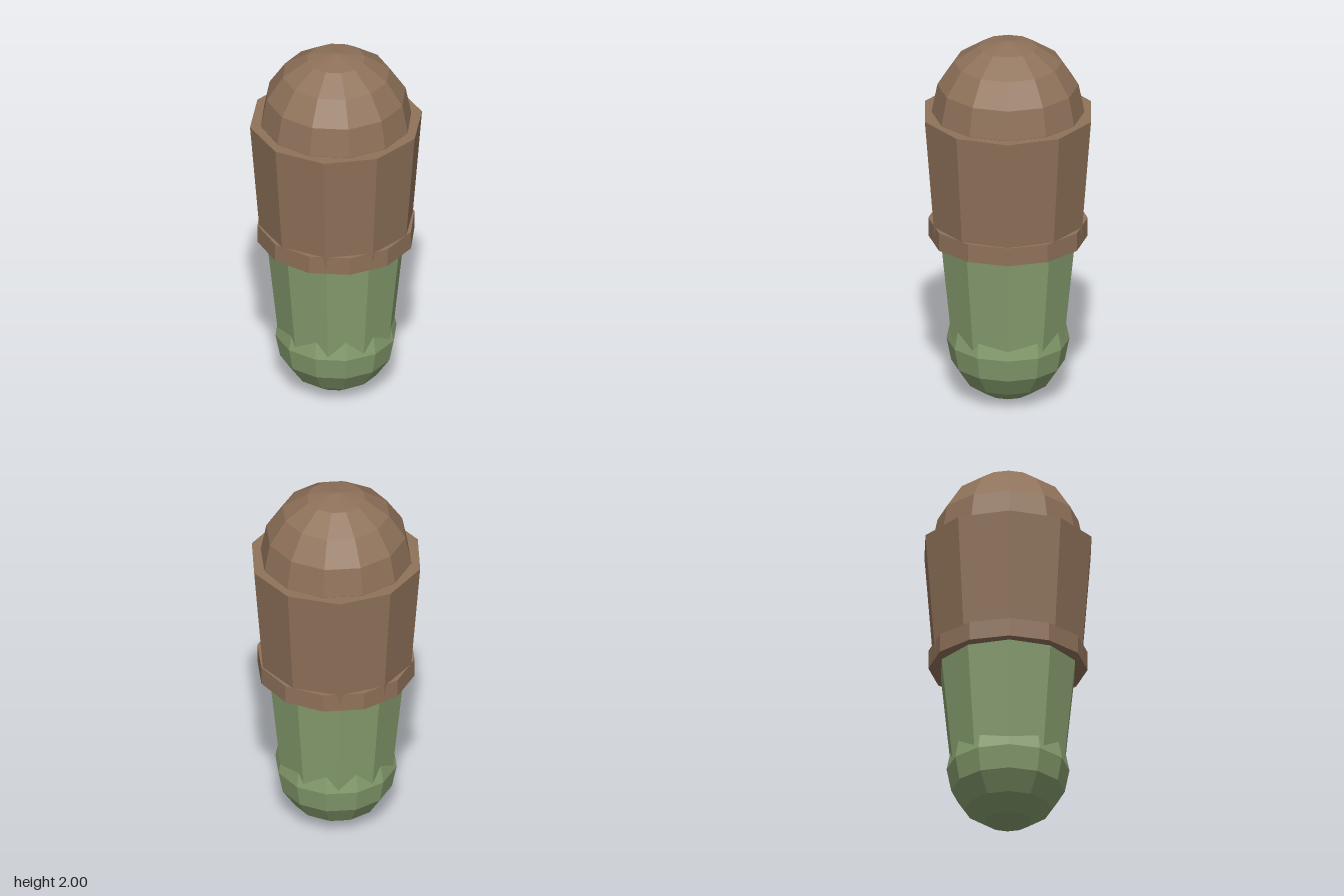
import * as THREE from 'three';

const SLEEVE_SIDES = 10;
const ROUND_SIDES = 12;

export function createModel() {
  const model = new THREE.Group();
  const material = (name, color) => {
    const m = new THREE.MeshStandardMaterial({ color, flatShading: true });
    m.name = name;
    return m;
  };
  const brown = material('brown', 0x8f725a);
  const green = material('green', 0x879e6f);

  const add = (name, geometry, mat, y) => {
    const mesh = new THREE.Mesh(geometry, mat);
    mesh.name = name;
    mesh.position.y = y;
    model.add(mesh);
  };

  // Tapered prism between two heights, with a corner on the x axis
  const taper = (name, rTop, rBottom, yBottom, yTop, sides, mat) =>
    add(name,
      new THREE.CylinderGeometry(rTop, rBottom, yTop - yBottom, sides, 1, false, Math.PI / 2),
      mat, (yBottom + yTop) / 2);

  // Faceted ball
  const ball = (name, radius, y, mat) =>
    add(name, new THREE.SphereGeometry(radius, ROUND_SIDES, 8), mat, y);

  // Lower limb and its rounded end
  ball('roundedEnd', 0.32, 0.32, green);
  taper('lowerLimb', 0.371, 0.305, 0.32, 0.95, SLEEVE_SIDES, green);

  // Sleeve, cuff band and shoulder dome
  taper('sleeve', 0.455, 0.399, 0.9, 1.6, SLEEVE_SIDES, brown);
  taper('cuffBand', 0.415, 0.415, 0.9, 1.0, ROUND_SIDES, brown);
  ball('shoulderDome', 0.398, 1.602, brown);

  return model;
}
